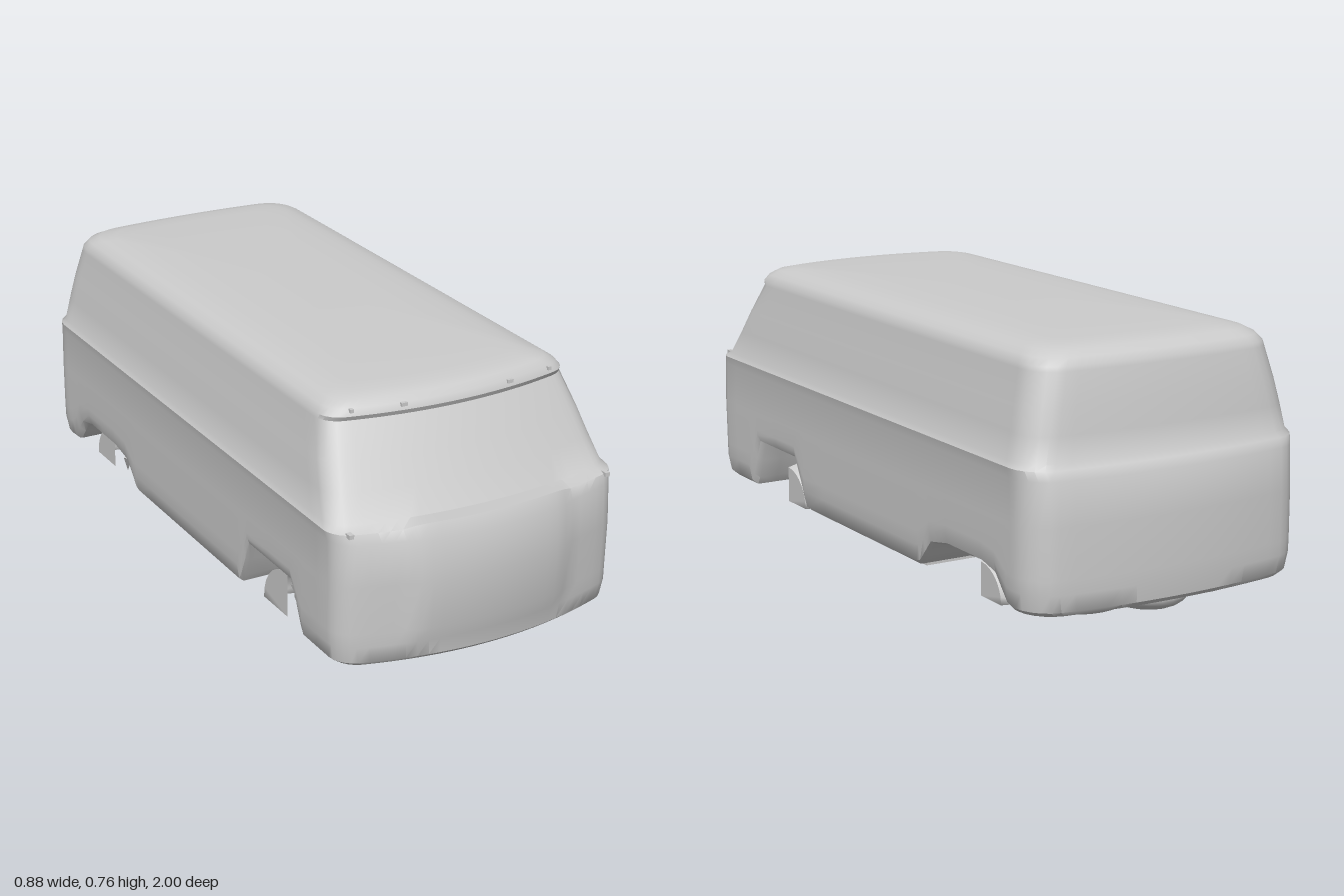
import * as THREE from 'three';
import { toCreasedNormals } from 'three/addons/utils/BufferGeometryUtils.js';

const { lerp, clamp, smoothstep } = THREE.MathUtils;
const RF = 0.05, RB = 0.08; // plan radii of the front and back corners

// body sections: height, half width, front z, front bow, back z, back bow
const LEVELS = [
  [0.058, 0.412, 0.88, 0.075, -0.935, 0.04],
  [0.072, 0.428, 0.89, 0.082, -0.945, 0.045],
  [0.12, 0.436, 0.895, 0.085, -0.95, 0.045],
  [0.16, 0.437, 0.895, 0.085, -0.95, 0.045],
  [0.3, 0.437, 0.9, 0.088, -0.95, 0.045],
  [0.42, 0.437, 0.895, 0.085, -0.945, 0.04],
  [0.446, 0.442, 0.885, 0.075, -0.935, 0.035],
  [0.46, 0.432, 0.86, 0.06, -0.925, 0.03],
  [0.53, 0.417, 0.815, 0.06, -0.918, 0.028],
  [0.6, 0.402, 0.775, 0.06, -0.908, 0.025],
  [0.69, 0.379, 0.72, 0.058, -0.892, 0.025],
  [0.703, 0.377, 0.728, 0.056, -0.888, 0.025],
  [0.722, 0.362, 0.722, 0.055, -0.875, 0.025],
  [0.737, 0.338, 0.705, 0.05, -0.85, 0.02],
  [0.746, 0.3, 0.675, 0.045, -0.81, 0.02],
];

// side stations, denser around the wheel arches
const SIDE = [0.78, 0.7, 0.685, 0.66, 0.635, 0.51, 0.385, 0.36, 0.335, 0.32, 0.2, 0.05, -0.1, -0.25,
  -0.35, -0.37, -0.4, -0.43, -0.52, -0.6, -0.7, -0.77, -0.8, -0.83, -0.85];

function archRise(z) {
  const front = clamp((0.185 - Math.abs(z - 0.51)) / 0.06, 0, 1) * 0.147;
  const back = clamp((0.235 - Math.abs(z + 0.6)) / 0.08, 0, 1) * 0.095;
  return Math.max(front, back);
}

// one closed plan outline: front, right corner and side, back, left side
function section([y, w, zF, bowF, zB, bowB]) {
  const half = []; // from the front centre round to the back centre
  const add = (x, z, rise = 0) => {
    const bow = 1 - (x / w) ** 2;
    let zz = z, yy = y;
    if (z > zF - RF) zz += bowF * bow;
    else if (z < zB + RB) zz -= bowB * bow;
    if (z > zF - RF && y > 0.13 && y < 0.45) { // raised nose panel
      const panel = 1 - smoothstep(x, 0.21, 0.27);
      zz += 0.012 * panel;
      if (y > 0.44) yy += 0.014 * panel;
    }
    if (y < 0.3) yy = lerp(y + rise, 0.3, (y - 0.058) / 0.242) - (y - 0.058) * (1 - (y - 0.058) / 0.242);
    if (y < 0.3) yy = lerp(0.058 + rise, 0.3, (y - 0.058) / 0.242);
    half.push([x, yy, zz]);
  };
  for (let i = 0; i < 12; i++) add((w - RF) * i / 12, zF);
  for (let i = 0; i <= 5; i++) {
    const a = i / 5 * Math.PI / 2;
    add(w - RF + RF * Math.sin(a), zF - RF + RF * Math.cos(a));
  }
  for (const s of SIDE) add(w, lerp(zF - RF, zB + RB, (0.84 - s) / 1.71), archRise(s));
  for (let i = 0; i <= 5; i++) {
    const a = i / 5 * Math.PI / 2;
    add(w - RB + RB * Math.cos(a), zB + RB - RB * Math.sin(a));
  }
  for (let i = 7; i >= 0; i--) add((w - RB) * i / 8, zB);
  const other = half.slice(1, -1).reverse().map(([x, yy, z]) => [-x, yy, z]);
  return [...half, ...other];
}

function bodyGeometry() {
  const rings = LEVELS.map(section);
  const bottom = rings[0], top = rings[rings.length - 1];
  // floor drawn inwards, stepping up into the wheel wells
  const floor = [0, 0.3, 0.6, 0.64, 0.85].map(s =>
    bottom.map(([x, y, z]) => [x * s, s < 0.62 ? 0.058 : y, z]));
  // gently domed roof
  const roof = [0.93, 0.84, 0.65, 0.4, 0.2, 0].map(s =>
    top.map(([x, y, z]) => [x * s, y + 0.011 * (1 - s ** 4), lerp(-0.06, z, s)]));
  const rows = [...floor, ...rings, ...roof];
  const n = bottom.length, index = [];
  for (let j = 0; j < rows.length - 1; j++) {
    for (let i = 0; i < n; i++) {
      const a = j * n + i, b = j * n + (i + 1) % n;
      index.push(a, b, b + n, a, b + n, a + n);
    }
  }
  const geo = new THREE.BufferGeometry();
  geo.setAttribute('position', new THREE.Float32BufferAttribute(rows.flat(2), 3));
  geo.setIndex(index);
  return toCreasedNormals(geo, 0.7);
}

export function createModel() {
  const group = new THREE.Group();
  const material = new THREE.MeshStandardMaterial({ color: 0xcccccc, side: THREE.DoubleSide });
  const part = (name, geo, x = 0, y = 0, z = 0) => {
    const mesh = new THREE.Mesh(geo, material);
    mesh.name = name;
    mesh.position.set(x, y, z);
    group.add(mesh);
    return mesh;
  };
  const box = (name, w, h, d, x, y, z) => part(name, new THREE.BoxGeometry(w, h, d), x, y, z);

  part('body', bodyGeometry());

  // wheel remains tucked into the arches, with ragged lower scraps
  for (const side of [-1, 1]) {
    for (const [z, r, h] of [[0.53, 0.14, 0.135], [-0.62, 0.13, 0.12]]) {
      const wheel = new THREE.CylinderGeometry(r, r * 0.8, 0.1, 14, 1, false, 0, Math.PI);
      wheel.rotateZ(Math.PI / 2);
      wheel.rotateX(-Math.PI / 2);
      const pos = wheel.attributes.position;
      for (let i = 0; i < pos.count; i++) pos.setY(i, Math.abs(pos.getY(i)) * h / r);
      wheel.computeVertexNormals();
      part('wheelRemnant', wheel, side * 0.335, 0.035, z);
      for (let i = 0; i < 4; i++) {
        const scrap = part('wheelScrap', new THREE.ConeGeometry(0.016, 0.05, 4),
          side * (0.3 + 0.025 * (i % 3)), 0.045, z - 0.1 + i * 0.06);
        scrap.rotation.x = Math.PI + (i - 1.5) * 0.3;
      }
    }
    // small trim along the windscreen top and gutter ends
    box('screenTrim', 0.018, 0.01, 0.02, side * 0.165, 0.718, 0.764);
    box('screenTrim', 0.01, 0.01, 0.02, side * 0.308, 0.718, 0.738);
    box('beltTrim', 0.014, 0.012, 0.02, side * 0.4, 0.446, 0.9);
    box('frameRail', 0.03, 0.03, 0.5, side * 0.13, 0.048, 0.55);
  }

  // underbody frame
  box('frontPan', 0.36, 0.035, 0.22, 0, 0.046, 0.7);
  box('frontAxle', 0.62, 0.04, 0.06, 0, 0.04, 0.5);
  box('gearCover', 0.2, 0.04, 0.26, 0, 0.038, 0.17);
  box('centreBeam', 0.04, 0.03, 0.75, 0, 0.048, -0.3);
  box('crossMember', 0.72, 0.032, 0.03, 0, 0.046, -0.27);
  box('rearAxle', 0.6, 0.03, 0.07, 0, 0.05, -0.6);

  // rounded engine pan hanging below the tail
  const pan = new THREE.SphereGeometry(1, 24, 8, 0, Math.PI * 2, Math.PI / 2, Math.PI / 2);
  pan.scale(0.12, 0.058, 0.16);
  part('enginePan', pan, 0, 0.058, -0.81);
  for (const side of [-1, 1]) {
    const muffler = new THREE.SphereGeometry(1, 16, 8);
    muffler.scale(0.12, 0.036, 0.07);
    part('muffler', muffler, side * 0.18, 0.055, -0.85);
  }
  return group;
}
